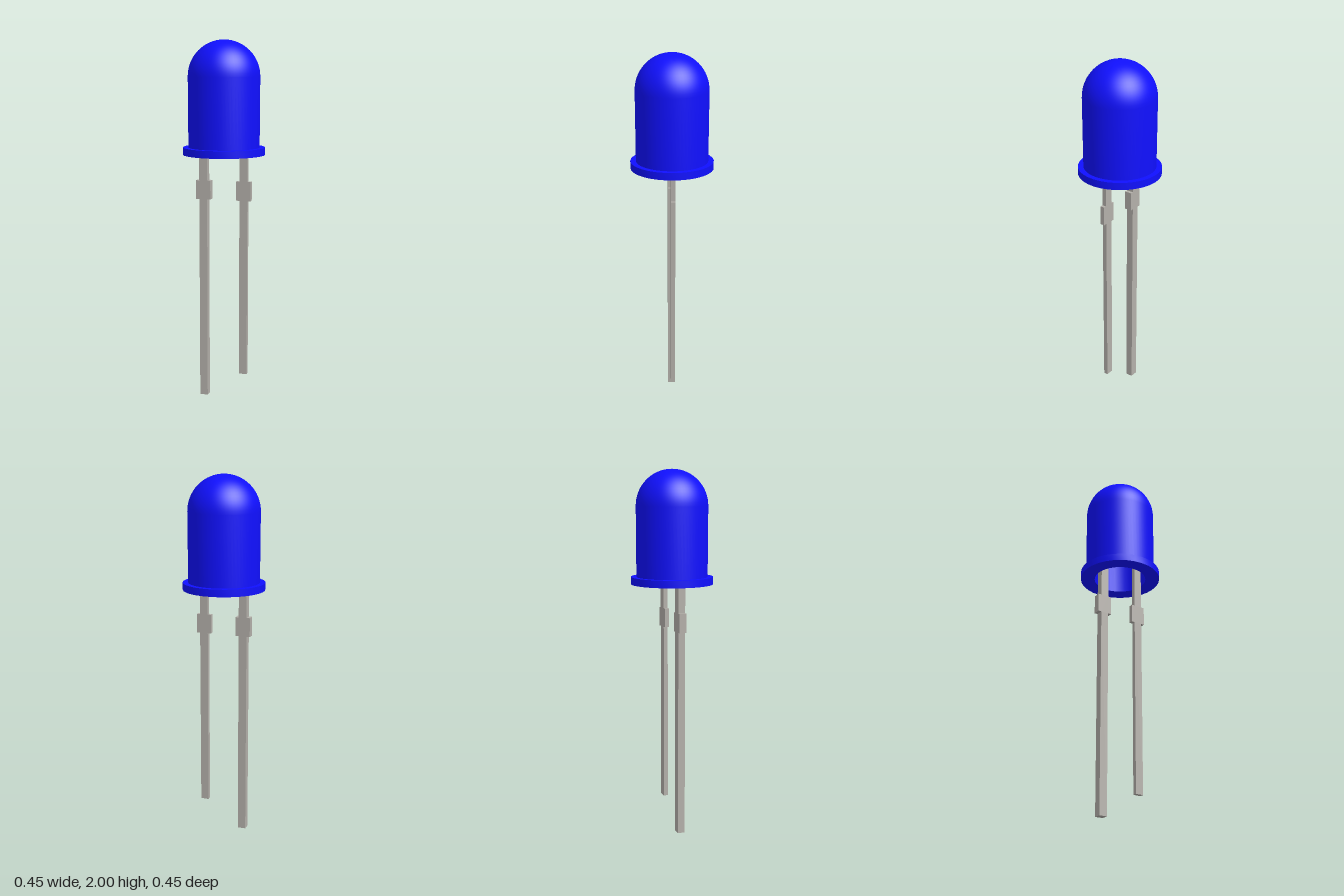
import * as THREE from 'three';
import { toCreasedNormals } from 'three/addons/utils/BufferGeometryUtils.js';

const blue = new THREE.MeshStandardMaterial({ color: 0x1010ff });
const metal = new THREE.MeshStandardMaterial({ color: 0xb4b0aa });

const BASE = 1.385, RIM_TOP = 1.425, SHOULDER = 1.805;

// Quarter-circle profile from the cylinder wall up to the apex
function domeArc(radius, steps = 16) {
  return Array.from({ length: steps + 1 }, (_, i) => {
    const a = (i / steps) * Math.PI / 2;
    return [i === steps ? 0 : radius * Math.cos(a), SHOULDER + radius * Math.sin(a)];
  });
}

function lathe(name, profile, sides) {
  const points = profile.map(([r, y]) => new THREE.Vector2(r, y));
  const geometry = toCreasedNormals(new THREE.LatheGeometry(points, sides), 0.6);
  const mesh = new THREE.Mesh(geometry, blue);
  mesh.name = name;
  return mesh;
}

// Flat pin with a wider stop tab, cut from one outline
function lead(name, x, bottom, depth) {
  const w = 0.0225, tab = 0.041, top = 1.6, tabLow = 1.135, tabHigh = 1.24;
  const right = [[w, bottom], [w, tabLow], [tab, tabLow], [tab, tabHigh], [w, tabHigh], [w, top]];
  const left = right.map(([px, py]) => [-px, py]).reverse();
  const shape = new THREE.Shape([...right, ...left].map(([px, py]) => new THREE.Vector2(px, py)));
  const geometry = new THREE.ExtrudeGeometry(shape, { depth, bevelEnabled: false });
  geometry.translate(0, 0, -depth / 2);
  const mesh = new THREE.Mesh(geometry, metal);
  mesh.name = name;
  mesh.position.x = x;
  return mesh;
}

export function createModel() {
  const model = new THREE.Group();
  model.name = 'lightEmittingDiode';

  // Domed lens and its hollow inside
  model.add(lathe('lens', [[0.194, RIM_TOP - 0.01], ...domeArc(0.195)], 64));
  model.add(lathe('lensCavity', [...domeArc(0.145).reverse(), [0.145, BASE]], 32));

  // Rim around the open underside
  model.add(lathe('rim', [[0.145, BASE], [0.224, BASE], [0.224, RIM_TOP], [0.19, RIM_TOP]], 32));

  // Long and short leads
  model.add(lead('longLead', -0.114, 0, 0.04));
  model.add(lead('shortLead', 0.114, 0.145, 0.024));
  return model;
}
